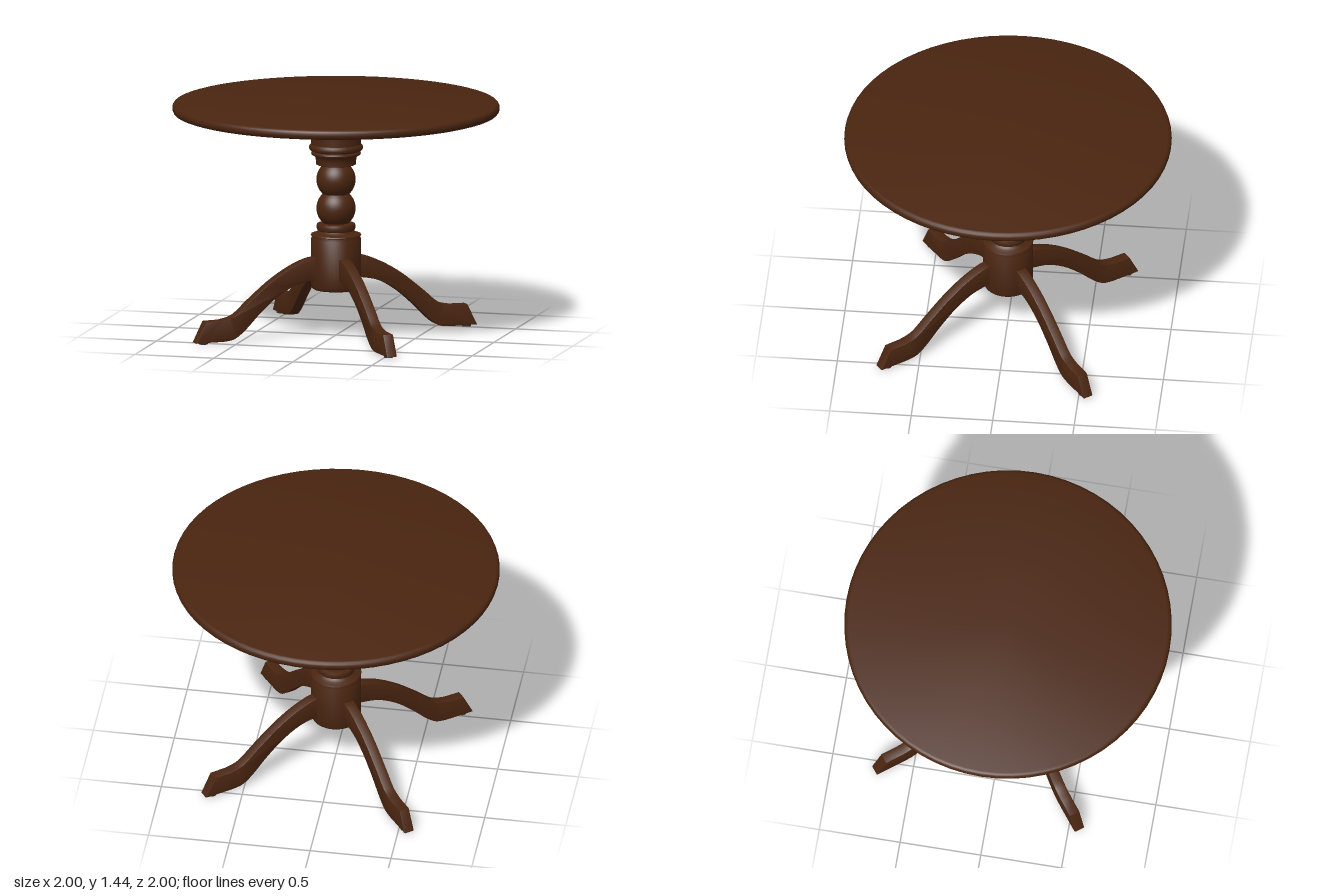
import * as THREE from 'three';
import { toCreasedNormals } from 'three/addons/utils/BufferGeometryUtils.js';

const wood = new THREE.MeshStandardMaterial({ name: 'dark wood', color: 0x4a2510 });
const metal = new THREE.MeshStandardMaterial({ name: 'dark metal', color: 0x3a3a3a });

function add(parent, name, geometry, material) {
  const mesh = new THREE.Mesh(geometry, material);
  mesh.name = name;
  parent.add(mesh);
  return mesh;
}

// Turned part: [radius, height] pairs from bottom to top
function turned(profile, segments) {
  const points = profile.map(([r, y]) => new THREE.Vector2(r, y));
  return toCreasedNormals(new THREE.LatheGeometry(points, segments), 0.6);
}

// Points on a ball outline between two heights
function ball(radius, centre, from, to, steps = 14) {
  return Array.from({ length: steps + 1 }, (_, i) => {
    const a = Math.asin(from / radius) + (Math.asin(to / radius) - Math.asin(from / radius)) * i / steps;
    return [radius * Math.cos(a), centre + radius * Math.sin(a)];
  });
}

// Side outline of a leg: x is the distance from the column
function legGeometry() {
  const width = 0.066, bevel = 0.005;
  const v = (x, y) => new THREE.Vector2(x, y);
  const s = new THREE.Shape();
  s.moveTo(0.1, 0.355);
  s.lineTo(0.15, 0.355);
  s.splineThru([v(0.27, 0.33), v(0.39, 0.265), v(0.5, 0.174), v(0.6, 0.075), v(0.67, 0.024), v(0.74, 0.011)]);
  s.lineTo(0.926, 0.011);
  s.lineTo(0.862, 0.14);
  s.lineTo(0.76, 0.142);
  s.splineThru([v(0.67, 0.168), v(0.567, 0.254), v(0.434, 0.36), v(0.31, 0.436), v(0.2, 0.482), v(0.13, 0.494)]);
  s.lineTo(0.1, 0.494);
  s.closePath();
  const g = new THREE.ExtrudeGeometry(s, {
    depth: width - 2 * bevel, bevelEnabled: true, bevelSize: bevel, bevelOffset: -bevel,
    bevelThickness: bevel, bevelSegments: 2, curveSegments: 24,
  });
  g.translate(0, 0, -width / 2 + bevel);
  return toCreasedNormals(g, 0.6);
}

export function createModel() {
  const table = new THREE.Group();
  table.name = 'pedestalTable';

  // Round top with a softened edge
  add(table, 'tableTop', turned([
    [0, 1.377], [0.975, 1.377], [0.988, 1.381], [0.996, 1.39], [1, 1.402],
    [1, 1.414], [0.996, 1.426], [0.988, 1.434], [0.975, 1.438], [0, 1.438],
  ], 64), wood);

  // Mounting plate and its screws
  const plate = add(table, 'mountingPlate', new THREE.CylinderGeometry(0.308, 0.308, 0.034, 48), wood);
  plate.position.y = 1.361;
  for (let i = 0; i < 4; i++) {
    const a = THREE.MathUtils.degToRad(38 + i * 90);
    const screw = add(table, 'plateScrew', new THREE.CylinderGeometry(0.021, 0.013, 0.016, 12), metal);
    screw.position.set(0.235 * Math.cos(a), 1.337, 0.235 * Math.sin(a));
  }

  // Turned column: hub, collar, two balls, upper collar and head
  add(table, 'column', turned([
    [0, 0.287], [0.135, 0.287], [0.145, 0.293], [0.153, 0.312], [0.153, 0.6], [0.146, 0.612],
    [0.146, 0.617], [0.155, 0.621], [0.152, 0.628], [0.128, 0.636], [0.115, 0.643], [0.108, 0.65],
    [0.115, 0.655], [0.119, 0.668], [0.119, 0.68], [0.115, 0.692], [0.1, 0.697],
    ...ball(0.12, 0.787, -0.09, 0.09),
    ...ball(0.12, 0.965, -0.088, 0.09),
    [0.117, 1.058], [0.123, 1.062], [0.123, 1.085], [0.127, 1.104], [0.136, 1.116], [0.149, 1.121],
    [0.152, 1.128], [0.149, 1.137], [0.142, 1.142], [0.15, 1.146], [0.16, 1.15], [0.165, 1.16],
    [0.165, 1.17], [0.16, 1.18], [0.153, 1.186], [0.153, 1.345], [0, 1.345],
  ], 48), wood);

  // Four swept legs with glide pads
  const geometry = legGeometry();
  for (let i = 0; i < 4; i++) {
    const leg = new THREE.Group();
    leg.name = 'leg';
    leg.rotation.y = THREE.MathUtils.degToRad(-52.5 + i * 90);
    leg.position.set(-0.006, 0, 0.004);
    add(leg, 'legBody', geometry, wood);
    add(leg, 'footPad', new THREE.CylinderGeometry(0.03, 0.027, 0.012, 20), metal).position.set(0.868, 0.006, 0);
    table.add(leg);
  }
  return table;
}
